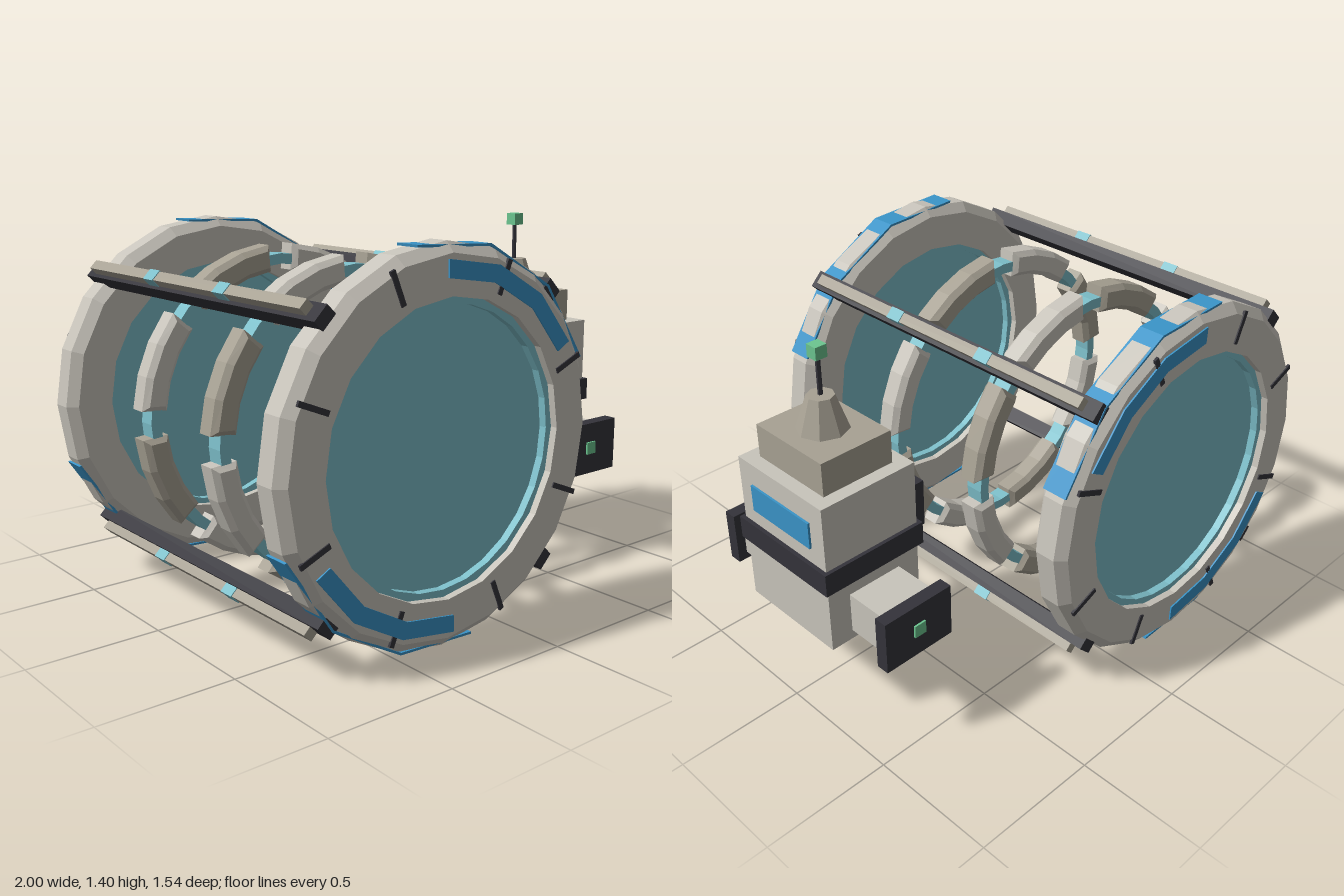
import * as THREE from 'three';

const mat = (name, color) => new THREE.MeshStandardMaterial({ name, color });
const rad = THREE.MathUtils.degToRad;

export function createModel() {
  const shell = mat('pale shell', 0xc9c5bc);
  const grey = mat('warm grey', 0xa8a294);
  const dark = mat('dark trim', 0x34333a);
  const blue = mat('blue paint', 0x3a94c8);
  const cyan = mat('cyan glass', 0x7ec0cb);
  const green = mat('green light', 0x6cc690);

  const model = new THREE.Group();
  model.name = 'station';

  function add(parent, name, geometry, material, x = 0, y = 0, z = 0) {
    let g = geometry;
    if (g.index) {
      g = g.toNonIndexed();
      g.computeVertexNormals(); // flat facets
    }
    const mesh = new THREE.Mesh(g, material);
    mesh.name = name;
    mesh.position.set(x, y, z);
    parent.add(mesh);
    return mesh;
  }

  const box = (w, h, d) => new THREE.BoxGeometry(w, h, d);

  // Box given by its limits on each axis
  const span = (parent, name, material, x0, x1, y0, y1, z0, z1) =>
    add(parent, name, box(x1 - x0, y1 - y0, z1 - z0), material, (x0 + x1) / 2, (y0 + y1) / 2, (z0 + z1) / 2);

  // Ring about the z axis from a closed (radius, z) profile
  function ring(profile, sides) {
    const points = [...profile, profile[0]].map(([r, z]) => new THREE.Vector2(r, z));
    return new THREE.LatheGeometry(points, sides).rotateX(Math.PI / 2);
  }

  // Curved block in the xy plane, centred on z = 0, angles in degrees
  function sector(r0, r1, a0, a1, steps, width, chamfer = 0) {
    const points = [];
    for (let i = 0; i <= steps; i++) {
      const a = rad(a0 + ((a1 - a0) * i) / steps);
      points.push(new THREE.Vector2(r1 * Math.cos(a), r1 * Math.sin(a)));
    }
    for (let i = steps; i >= 0; i--) {
      const a = rad(a0 + ((a1 - a0) * i) / steps);
      points.push(new THREE.Vector2(r0 * Math.cos(a), r0 * Math.sin(a)));
    }
    const depth = width - 2 * chamfer;
    return new THREE.ExtrudeGeometry(new THREE.Shape(points), {
      depth, bevelEnabled: chamfer > 0, bevelThickness: chamfer,
      bevelSize: chamfer, bevelOffset: -chamfer, bevelSegments: 1,
    }).translate(0, 0, -depth / 2);
  }

  // Everything round is built about the origin of this group
  const drum = new THREE.Group();
  drum.name = 'drum';
  drum.position.set(-0.3, 0.7, 0);
  model.add(drum);

  // Two end rings with glass, ticks and blue stripes
  for (const side of [1, -1]) {
    const end = new THREE.Group();
    end.name = side > 0 ? 'frontEnd' : 'backEnd';
    end.position.z = side * 0.692;
    drum.add(end);

    add(end, 'endRing', ring([
      [0.522, -0.073], [0.663, -0.073], [0.7, -0.04], [0.7, 0.04],
      [0.663, 0.073], [0.522, 0.073],
    ], 20), shell);
    add(end, 'glassRim', ring([[0.495, -0.045], [0.53, -0.045], [0.53, 0.045], [0.495, 0.045]], 28), cyan);
    add(end, 'glass', new THREE.CylinderGeometry(0.5, 0.5, 0.03, 28).rotateX(Math.PI / 2), cyan);

    for (let i = 0; i < 8; i++) {
      const a = rad(22.5 + 45 * i);
      const tick = add(end, 'tick', box(0.125, 0.02, 0.01), dark,
        0.613 * Math.cos(a), 0.613 * Math.sin(a), side * 0.073);
      tick.rotation.z = a;
    }
    for (const turn of [0, 180]) {
      add(end, 'faceStripe', sector(0.583, 0.645, 29 + turn, 92 + turn, 3, 0.008), blue, 0, 0, side * 0.075);
      add(end, 'rimStripe', sector(0.698, 0.707, 20 + turn, 101 + turn, 3, 0.1), blue);
    }
  }

  // Two inner hoops carrying eight curved blocks each
  [0.23, -0.23].forEach((z, row) => {
    add(drum, 'hoop', ring([[0.545, -0.035], [0.585, -0.035], [0.585, 0.035], [0.545, 0.035]], 32), cyan, 0, 0, z);
    for (let i = 0; i < 8; i++) {
      add(drum, 'hoopBlock', sector(0.52, 0.622, 45 * i + 5, 45 * i + 40, 3, 0.105, 0.02),
        (i + row) % 2 ? grey : shell, 0, 0, z);
    }
  });

  // Four long rails joining the end rings
  for (let i = 0; i < 4; i++) {
    const rail = new THREE.Group();
    rail.name = 'rail';
    rail.rotation.z = rad(45 + 90 * i);
    drum.add(rail);
    add(rail, 'railBeam', box(0.058, 0.07, 1.48), dark, 0.7);
    add(rail, 'railStrip', box(0.04, 0.04, 1.37), grey, 0.743);
    for (const z of [0.23, -0.23]) add(rail, 'railLight', box(0.044, 0.046, 0.066), cyan, 0.744, 0, z);
  }

  // Separate module beside the drum
  const pod = new THREE.Group();
  pod.name = 'sideModule';
  pod.position.x = 0.776;
  model.add(pod);
  span(pod, 'moduleBody', shell, -0.204, 0.204, 0.35, 0.95, -0.23, 0.23);
  span(pod, 'moduleBelt', dark, -0.22, 0.22, 0.605, 0.695, -0.245, 0.245);
  span(pod, 'moduleTop', grey, -0.15, 0.15, 0.95, 1.08, -0.177, 0.177);
  add(pod, 'cone', new THREE.CylinderGeometry(0.05, 0.095, 0.13, 8), grey, 0, 1.145, 0);
  add(pod, 'antenna', new THREE.CylinderGeometry(0.009, 0.009, 0.16, 6), dark, 0, 1.285, 0);
  add(pod, 'antennaLight', box(0.048, 0.048, 0.048), green, 0, 1.376, 0);

  for (const s of [1, -1]) {
    add(pod, 'window', box(0.009, 0.105, 0.32), blue, s * 0.208, 0.812, 0);
    // Docking arms to front and back
    add(pod, 'dockArm', box(0.226, 0.16, 0.19), shell, 0, 0.467, s * 0.315);
    add(pod, 'dockPlate', box(0.3, 0.212, 0.052), dark, 0, 0.464, s * 0.435);
    add(pod, 'dockLight', box(0.05, 0.05, 0.009), green, 0, 0.467, s * 0.464);
  }

  // Docking arm towards the drum
  span(pod, 'sideArm', shell, -0.3, -0.2, 0.575, 0.73, -0.095, 0.095);
  span(pod, 'sidePlate', dark, -0.346, -0.294, 0.555, 0.75, -0.112, 0.112);
  add(pod, 'sideLight', box(0.009, 0.05, 0.05), green, -0.207, 0.493, 0);

  return model;
}
